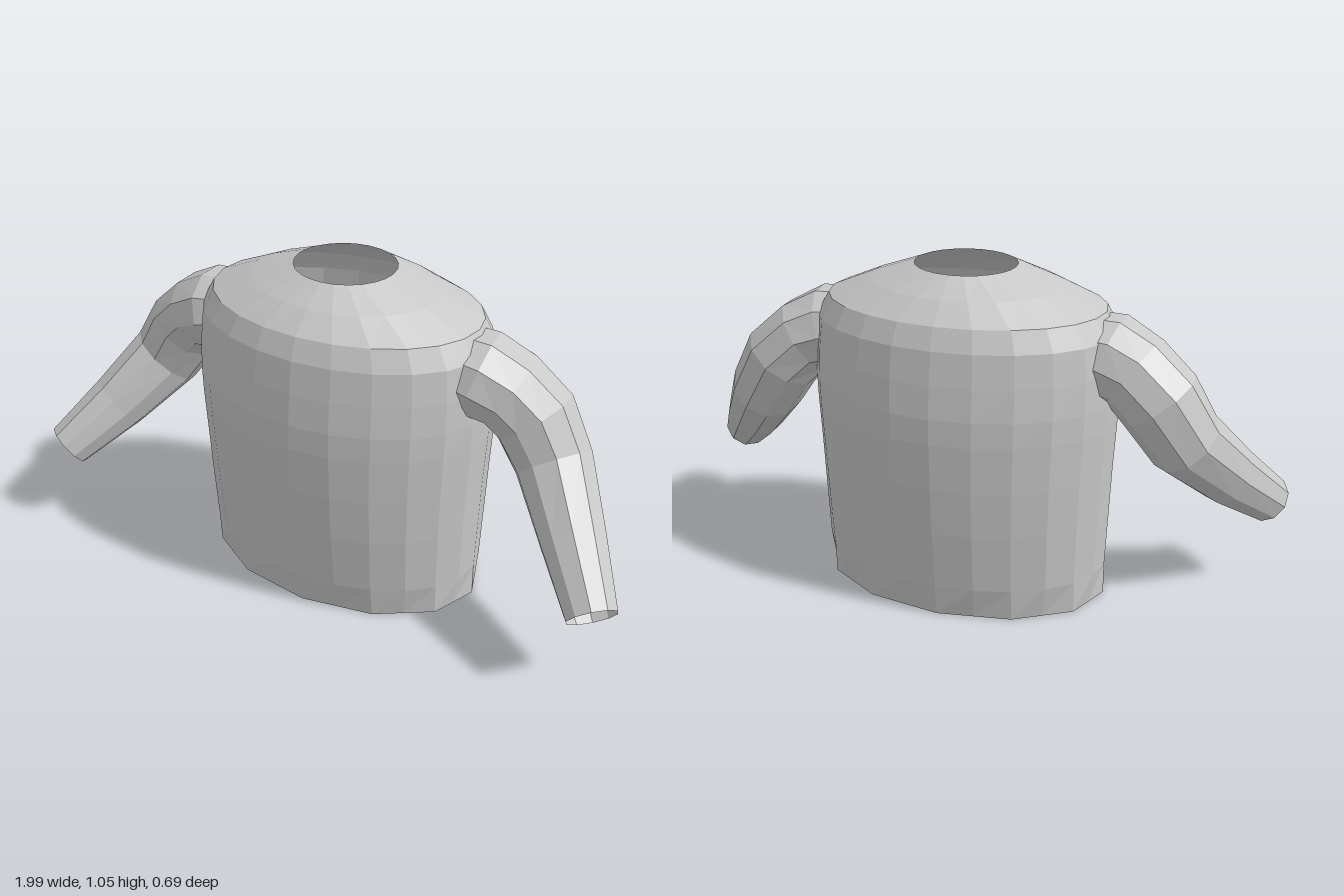
import * as THREE from 'three';

// Skin a list of equal-length rings; rings run counter-clockwise about the sweep direction.
function loft(rings, name, material) {
  const n = rings[0].length;
  const index = [];
  for (let i = 0; i < rings.length - 1; i++) {
    for (let j = 0; j < n; j++) {
      const k = (j + 1) % n;
      const a = i * n + j, b = i * n + k, c = a + n, d = b + n;
      index.push(a, b, d, a, d, c);
    }
  }
  const geometry = new THREE.BufferGeometry().setFromPoints(rings.flat());
  geometry.setIndex(index);
  const flat = geometry.toNonIndexed();
  flat.computeVertexNormals();
  const mesh = new THREE.Mesh(flat, material);
  mesh.name = name;
  return mesh;
}

// Ellipse around a centre, spanned by the axes u and v.
function ellipse(center, u, v, ru, rv, n) {
  return Array.from({ length: n }, (_, j) => {
    const a = (j / n) * Math.PI * 2;
    return center.clone().addScaledVector(u, Math.cos(a) * ru).addScaledVector(v, Math.sin(a) * rv);
  });
}

const X = new THREE.Vector3(1, 0, 0);
const Z = new THREE.Vector3(0, 0, 1);

// Torso: y, half width, half depth, from the hem up to the neck opening
const TORSO = [
  [0, 0.465, 0.29], [0.105, 0.464, 0.304], [0.3, 0.47, 0.326], [0.45, 0.475, 0.338],
  [0.6, 0.482, 0.345], [0.68, 0.484, 0.345], [0.78, 0.482, 0.335], [0.88, 0.472, 0.321],
  [0.945, 0.435, 0.294], [1.003, 0.3, 0.228], [1.055, 0.157, 0.148],
];

// Sleeve: centre x, y, z, then half depth and half height
const SLEEVE = [
  [0.37, 0.82, 0, 0.135, 0.12], [0.45, 0.805, 0, 0.142, 0.135], [0.53, 0.772, -0.015, 0.135, 0.125],
  [0.61, 0.697, -0.027, 0.13, 0.128], [0.69, 0.57, -0.005, 0.118, 0.118],
  [0.81, 0.42, 0.125, 0.098, 0.1], [0.93, 0.285, 0.266, 0.077, 0.077],
];

function makeTorso(material) {
  const rings = TORSO.map(([y, rx, rz]) => ellipse(new THREE.Vector3(0, y, 0), Z, X, rz, rx, 24));
  // The hem has half as many corners as the rings above it
  const hem = rings[0];
  for (let j = 1; j < hem.length; j += 2) hem[j].lerpVectors(hem[j - 1], hem[(j + 1) % hem.length], 0.5);
  return loft(rings, 'torso', material);
}

function makeSleeve(side, name, material) {
  const centers = SLEEVE.map(([x, y, z]) => new THREE.Vector3(side * x, y, z));
  const rings = centers.map((c, i) => {
    const before = centers[Math.max(i - 1, 0)];
    const after = centers[Math.min(i + 1, centers.length - 1)];
    const t = after.clone().sub(before).normalize();
    const u = Z.clone().addScaledVector(t, -Z.dot(t)).normalize();
    const v = t.clone().cross(u);
    return ellipse(c, u, v, SLEEVE[i][3], SLEEVE[i][4], 10);
  });
  return loft(rings, name, material);
}

export function createModel() {
  const fabric = new THREE.MeshStandardMaterial({ color: 0xc8c8c8, flatShading: true, side: THREE.DoubleSide });
  fabric.name = 'grey fabric';
  const sweater = new THREE.Group();
  sweater.name = 'sweater';
  sweater.add(
    makeTorso(fabric),
    makeSleeve(1, 'leftSleeve', fabric),
    makeSleeve(-1, 'rightSleeve', fabric),
  );
  return sweater;
}
